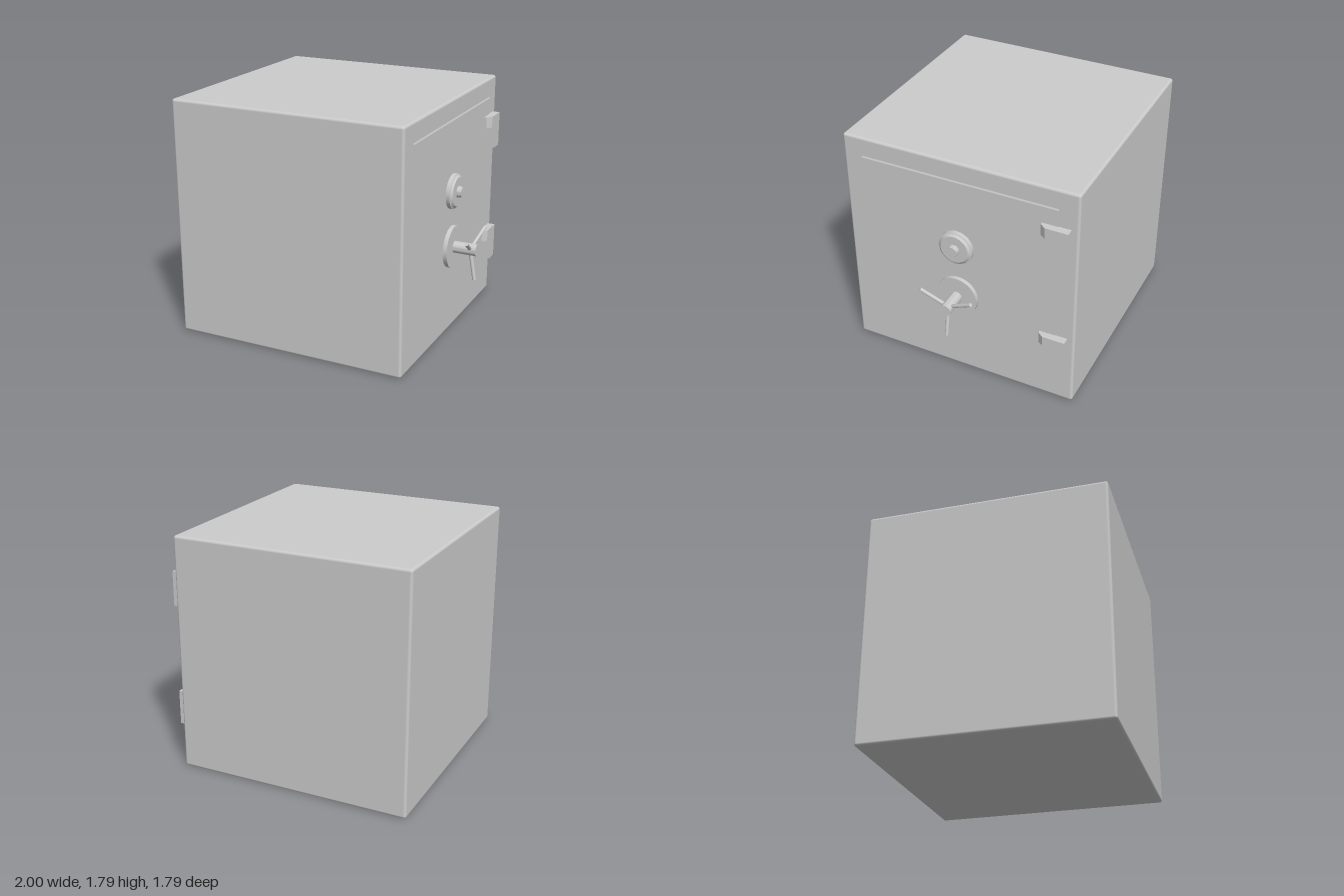
import * as THREE from 'three';
import { RoundedBoxGeometry } from 'three/addons/geometries/RoundedBoxGeometry.js';
import { toCreasedNormals } from 'three/addons/utils/BufferGeometryUtils.js';

const SIZE = 1.788;          // edge length of the cabinet
const FACE = -1 + SIZE;      // x of the door side
const AXIS_Z = 0.012;        // dial and handle centre line

const material = new THREE.MeshStandardMaterial({ color: 0xcccccc });

function addMesh(parent, name, geometry) {
  const mesh = new THREE.Mesh(geometry, material);
  mesh.name = name;
  parent.add(mesh);
  return mesh;
}

// Turned part whose axis points along +x; profile is [radius, x] pairs
function turned(profile, segments = 40) {
  const points = profile.map(([r, x]) => new THREE.Vector2(r, x));
  const geometry = new THREE.LatheGeometry(points, segments);
  geometry.rotateZ(-Math.PI / 2);
  return toCreasedNormals(geometry, 0.4);
}

// Outline of [x, y] points extruded along +z
function extruded(points, depth) {
  const shape = new THREE.Shape(points.map(([x, y]) => new THREE.Vector2(x, y)));
  return new THREE.ExtrudeGeometry(shape, { depth, bevelEnabled: false });
}

function createHinge() {
  const hinge = new THREE.Group();
  // Horizontal arm with a chamfered tip, outlined in x/z and extruded upward
  const arm = extruded([[-0.01, 0.84], [-0.01, 0.63], [0.024, 0.63], [0.057, 0.672], [0.057, 0.84]], 0.085);
  arm.rotateX(-Math.PI / 2);
  addMesh(hinge, 'hingeArm', arm).position.y = -0.085;
  // Vertical leaf hanging below the arm
  const leaf = new THREE.BoxGeometry(0.067, 0.178, 0.095);
  addMesh(hinge, 'hingeLeaf', leaf).position.set(0.0235, -0.174, -0.7925);
  return hinge;
}

function createDial() {
  const dial = new THREE.Group();
  dial.name = 'combinationDial';
  addMesh(dial, 'dialRing', turned([
    [0, 0], [0.131, 0], [0.131, 0.033], [0.121, 0.037], [0.107, 0.051], [0, 0.051],
  ], 48));
  addMesh(dial, 'dialKnob', turned([
    [0, 0.04], [0.042, 0.04], [0.042, 0.068], [0.039, 0.07], [0.039, 0.086], [0, 0.086],
  ], 32));
  return dial;
}

function createHandle() {
  const handle = new THREE.Group();
  handle.name = 'spokeHandle';
  addMesh(handle, 'handlePlate', turned([[0, 0], [0.159, 0], [0.159, 0.036], [0, 0.036]], 48));
  addMesh(handle, 'handleShaft', turned([[0, 0.03], [0.044, 0.03], [0.044, 0.212], [0, 0.212]], 32));

  // Three spokes that lean outward from the shaft
  const length = 0.235;
  for (let i = 0; i < 3; i++) {
    const spoke = new THREE.Group();
    spoke.name = 'spoke';
    const geometry = new THREE.CylinderGeometry(0.014, 0.014, length, 20);
    geometry.translate(0, length / 2, 0);
    addMesh(spoke, 'spokeRod', geometry).rotation.z = -0.17;
    spoke.position.x = 0.158;
    spoke.rotation.x = Math.PI + (i * Math.PI * 2) / 3;
    handle.add(spoke);
  }
  return handle;
}

export function createModel() {
  const safe = new THREE.Group();
  safe.name = 'safe';

  // Cabinet
  addMesh(safe, 'cabinet', new RoundedBoxGeometry(SIZE, SIZE, SIZE, 3, 0.02))
    .position.set(FACE - SIZE / 2, SIZE / 2, 0);

  // Thin raised door with a bevelled top edge
  const door = extruded([[-0.01, 0.147], [0.005, 0.147], [0.005, 1.632], [0, 1.644], [-0.01, 1.644]], 1.494);
  addMesh(safe, 'door', door).position.set(FACE, 0, -0.747);

  // Hinges
  for (const top of [1.507, 0.577]) {
    const hinge = createHinge();
    hinge.name = top > 1 ? 'upperHinge' : 'lowerHinge';
    hinge.position.set(FACE, top, 0);
    safe.add(hinge);
  }

  // Lock hardware
  const dial = createDial();
  dial.position.set(FACE, 1.105, AXIS_Z);
  const handle = createHandle();
  handle.position.set(FACE, 0.677, AXIS_Z);
  safe.add(dial, handle);

  return safe;
}
